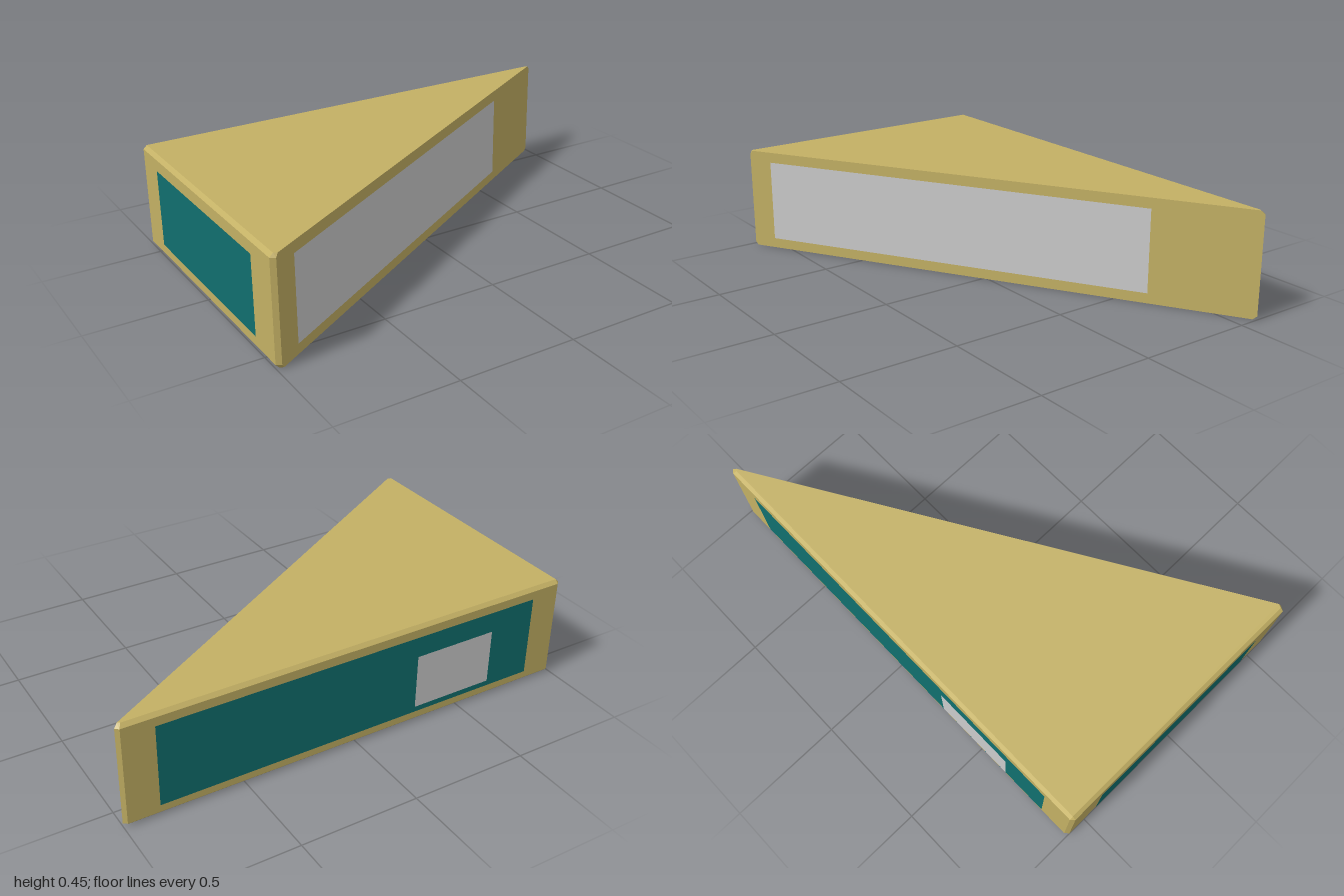
import * as THREE from 'three';
import { ConvexGeometry } from 'three/addons/geometries/ConvexGeometry.js';

const bodyMat = new THREE.MeshStandardMaterial({ color: 0xc3b064, flatShading: true });
const tealMat = new THREE.MeshStandardMaterial({ color: 0x106f6e });
const greyMat = new THREE.MeshStandardMaterial({ color: 0xcccccc });

const HEIGHT = 0.45, BEVEL = 0.015;

// Flat rectangle lying just outside a wall, turned to face along angle
function panel(name, material, width, y0, y1, x, z, angle, lift = 0.003) {
  const mesh = new THREE.Mesh(new THREE.PlaneGeometry(width, y1 - y0), material);
  mesh.name = name;
  mesh.position.set(x + Math.sin(angle) * lift, (y0 + y1) / 2, z + Math.cos(angle) * lift);
  mesh.rotation.y = angle;
  return mesh;
}

export function createModel() {
  const group = new THREE.Group();
  group.name = 'wedgeBlock';

  // Right-triangle block: full outline for the walls, smaller outline for top and bottom
  const wall = [[-1, -0.585], [-0.985, -0.6], [0.985, -0.6], [1, -0.588], [-0.98, 0.6], [-1, 0.588]];
  const cap = [[-0.985, -0.585], [0.975, -0.585], [0.985, -0.579], [-0.97, 0.594], [-0.985, 0.588]];
  const points = [];
  for (const [x, z] of wall) {
    for (const y of [BEVEL, HEIGHT - BEVEL]) points.push(new THREE.Vector3(x, y, z));
  }
  for (const [x, z] of cap) {
    for (const y of [0, HEIGHT]) points.push(new THREE.Vector3(x, y, z));
  }
  const body = new THREE.Mesh(new ConvexGeometry(points), bodyMat);
  body.name = 'body';
  group.add(body);

  // Panels on the sloping, back and short walls, with a label on the back panel
  const slope = Math.atan2(1.188, 1.98);
  group.add(
    panel('slopingPanel', greyMat, 1.76, 0.045, 0.405, -0.135, 0.093, slope),
    panel('backPanel', tealMat, 1.71, 0.047, 0.4, 0, -0.6, Math.PI),
    panel('backLabel', greyMat, 0.37, 0.073, 0.312, -0.462, -0.6, Math.PI, 0.006),
    panel('sidePanel', tealMat, 0.88, 0.057, 0.388, -1, 0, -Math.PI / 2),
  );
  return group;
}
